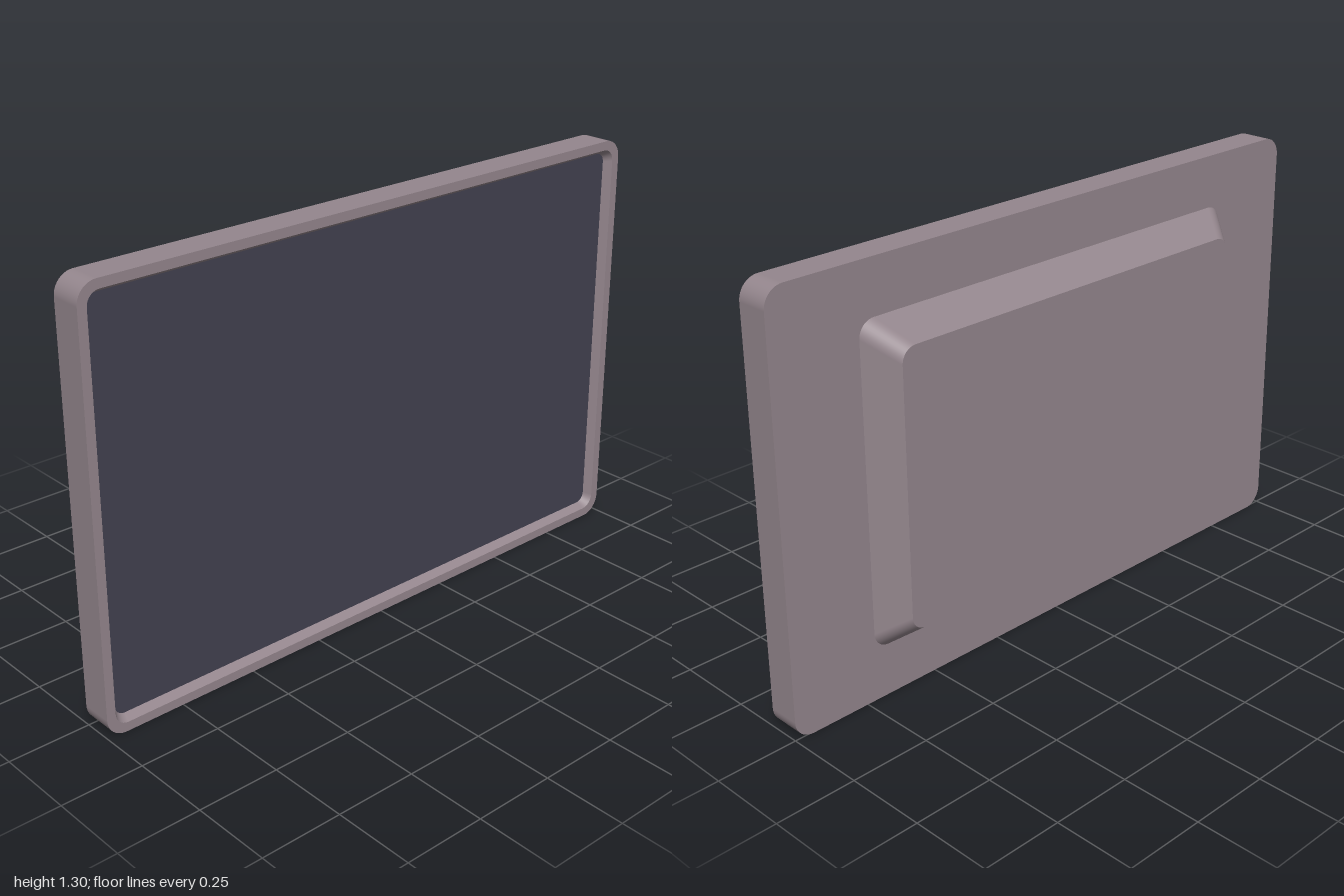
import * as THREE from 'three';

const CORNER_STEPS = 10;

// Rounded rectangle outline: half width, half height, corner radius -> [x, y, angle]
function outline(hw, hh, r) {
  const pts = [];
  [[1, 1], [-1, 1], [-1, -1], [1, -1]].forEach(([sx, sy], q) => {
    for (let i = 0; i <= CORNER_STEPS; i++) {
      const a = (q + i / CORNER_STEPS) * Math.PI / 2;
      pts.push([sx * (hw - r) + r * Math.cos(a), sy * (hh - r) + r * Math.sin(a), a]);
    }
  });
  return pts;
}

// Skins a list of [halfWidth, halfHeight, radius, z] rings, sharp between bands, smooth round corners
function loft(rings) {
  const pos = [], nor = [], idx = [];
  for (let k = 0; k + 1 < rings.length; k++) {
    const pair = [rings[k], rings[k + 1]];
    const dr = pair[1][0] - pair[0][0], dz = pair[1][3] - pair[0][3];
    const len = Math.hypot(dr, dz), base = pos.length / 3;
    const n = 4 * (CORNER_STEPS + 1);
    for (const [hw, hh, r, z] of pair) {
      for (const [x, y, a] of outline(hw, hh, r)) {
        pos.push(x, y, z);
        nor.push(Math.cos(a) * dz / len, Math.sin(a) * dz / len, -dr / len);
      }
    }
    for (let i = 0; i < n; i++) {
      const a = base + i, b = base + (i + 1) % n;
      idx.push(a, b, b + n, a, b + n, a + n);
    }
  }
  const g = new THREE.BufferGeometry();
  g.setAttribute('position', new THREE.Float32BufferAttribute(pos, 3));
  g.setAttribute('normal', new THREE.Float32BufferAttribute(nor, 3));
  g.setIndex(idx);
  return g;
}

export function createModel() {
  const casing = new THREE.MeshStandardMaterial({ color: 0x94868d });
  casing.name = 'casing mauve grey';
  const glass = new THREE.MeshStandardMaterial({ color: 0x42404f });
  glass.name = 'screen dark blue grey';

  const group = new THREE.Group();
  group.name = 'flatPanel';
  const add = (name, rings, material) => {
    const mesh = new THREE.Mesh(loft(rings), material);
    mesh.name = name;
    mesh.position.y = 0.65;
    group.add(mesh);
  };

  // Frame: flat back, side wall, front rim and sloped lip around the recess
  add('frame', [
    [0, 0, 0, -0.005],
    [1, 0.65, 0.06, -0.005],
    [1, 0.65, 0.06, 0.095],
    [0.972, 0.622, 0.04, 0.095],
    [0.957, 0.607, 0.03, 0.07],
  ], casing);

  // Screen: flat face at the bottom of the recess
  add('screen', [[0.957, 0.607, 0.03, 0.07], [0, 0, 0, 0.07]], glass);

  // Rear housing: tapered raised block
  add('rearHousing', [
    [0, 0, 0, -0.095],
    [0.65, 0.42, 0.045, -0.095],
    [0.715, 0.487, 0.05, -0.005],
  ], casing);

  return group;
}
